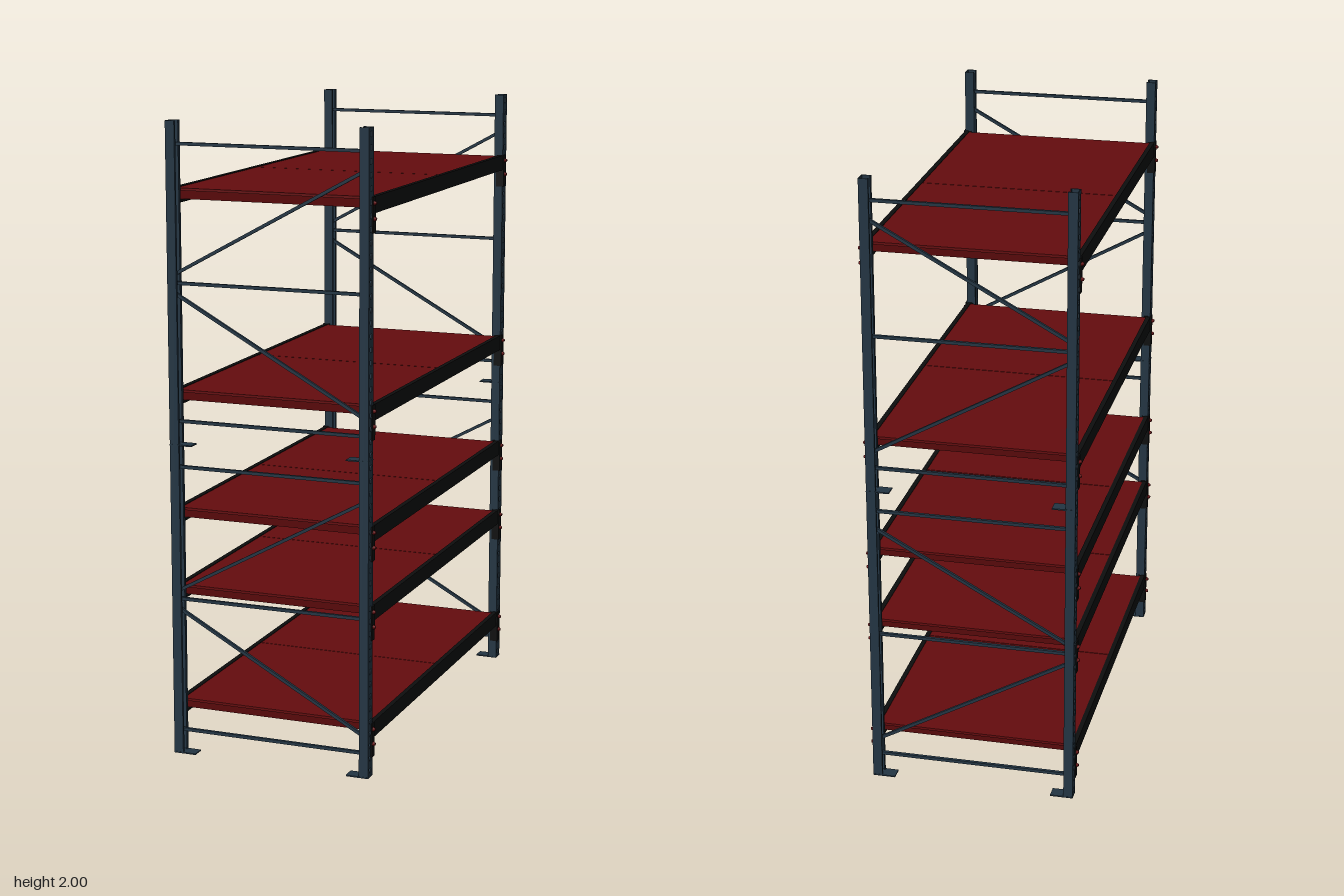
import * as THREE from 'three';

const steel = new THREE.MeshStandardMaterial({ color: 0x233543 });
steel.name = 'blue grey steel';
const red = new THREE.MeshStandardMaterial({ color: 0x640c0e });
red.name = 'dark red';
const black = new THREE.MeshStandardMaterial({ color: 0x0d0e0e });
black.name = 'black';

const POST_X = 0.332, POST_Z = 0.645;
const SHELF_TOPS = [0.17, 0.545, 0.795, 1.17, 1.795];

function add(parent, name, geometry, material, x = 0, y = 0, z = 0) {
  const mesh = new THREE.Mesh(geometry, material);
  mesh.name = name;
  mesh.position.set(x, y, z);
  parent.add(mesh);
  return mesh;
}

const box = (w, h, d) => new THREE.BoxGeometry(w, h, d);

// Extrude a (z, y) outline along x, centred on x = 0
function extrudeX(shape, length) {
  const g = new THREE.ExtrudeGeometry(shape, { depth: length, bevelEnabled: false });
  g.translate(0, 0, -length / 2);
  return g.rotateY(Math.PI / 2);
}

// Perforated outer web of a post
function webGeometry() {
  const shape = new THREE.Shape();
  shape.moveTo(-0.02, 0).lineTo(0.02, 0).lineTo(0.02, 2).lineTo(-0.02, 2).closePath();
  for (let i = 0; i < 50; i++) {
    const y = 0.02 + i * 0.04;
    const hole = new THREE.Path();
    hole.moveTo(-0.006, y - 0.008).lineTo(-0.009, y + 0.008);
    hole.lineTo(0.009, y + 0.008).lineTo(0.006, y - 0.008).closePath();
    shape.holes.push(hole);
  }
  return extrudeX(shape, 0.003);
}

// Ribbed deck panel: flat top, trapezoid ribs underneath
function deckGeometry(length, ribs) {
  const shape = new THREE.Shape();
  const pitch = length / ribs, h = length / 2;
  shape.moveTo(h, 0).lineTo(-h, 0);
  for (let i = 0; i < ribs; i++) {
    const z = -h + i * pitch;
    shape.lineTo(z, -0.008).lineTo(z + pitch * 0.2, -0.008);
    shape.lineTo(z + pitch * 0.3, -0.036).lineTo(z + pitch * 0.7, -0.036);
    shape.lineTo(z + pitch * 0.8, -0.008);
  }
  shape.lineTo(h, -0.008).closePath();
  return extrudeX(shape, 0.628);
}

// Brace between two points in the frame plane
function addBrace(frame, name, x1, y1, x2, y2) {
  const length = Math.hypot(x2 - x1, y2 - y1);
  const brace = add(frame, name, box(length, 0.01, 0.01), steel, (x1 + x2) / 2, (y1 + y2) / 2, 0);
  brace.rotation.z = Math.atan2(y2 - y1, x2 - x1);
}

export function createModel() {
  const model = new THREE.Group();
  model.name = 'storageRack';
  const web = webGeometry();
  const flange = box(0.03, 2, 0.003);
  const lip = box(0.003, 2, 0.009);
  const pin = new THREE.CylinderGeometry(0.004, 0.008, 0.01, 10).rotateZ(-Math.PI / 2);
  const deck = deckGeometry(0.617, 9);

  // End frames: channel posts, foot plates and braces
  for (const sz of [1, -1]) {
    const frame = new THREE.Group();
    frame.name = sz > 0 ? 'frontFrame' : 'backFrame';
    frame.position.z = sz * POST_Z;
    model.add(frame);
    for (const sx of [1, -1]) {
      const post = new THREE.Group();
      post.name = sx > 0 ? 'leftPost' : 'rightPost';
      if (sx < 0) post.rotation.y = Math.PI;
      frame.add(post);
      add(post, 'postWeb', web, steel, POST_X - 0.0055);
      for (const s of [1, -1]) {
        add(post, 'postFlange', flange, steel, POST_X - 0.019, 1, s * 0.0185);
        add(post, 'postLip', lip, steel, POST_X - 0.0325, 1, s * 0.0155);
      }
      for (const y of [0, 1]) {
        add(post, 'footPlate', box(0.073, 0.004, 0.042), steel, 0.292, y + 0.002, 0);
      }
    }
    for (const y of [0, 1]) {
      for (const h of [0.075, 0.505, 0.93]) addBrace(frame, 'crossBar', -0.315, y + h, 0.315, y + h);
      addBrace(frame, 'lowerDiagonal', -0.315, y + 0.475, 0.315, y + 0.125);
      addBrace(frame, 'upperDiagonal', -0.315, y + 0.53, 0.315, y + 0.875);
    }
  }

  // Shelves: two deck panels, side beams and end connectors
  for (const top of SHELF_TOPS) {
    const shelf = new THREE.Group();
    shelf.name = 'shelf';
    shelf.position.y = top;
    model.add(shelf);
    for (const s of [1, -1]) add(shelf, 'deckPanel', deck, red, 0, -0.002, s * 0.31);
    add(shelf, 'deckSeam', box(0.628, 0.004, 0.004), black, 0, -0.006, 0);
    for (const sx of [1, -1]) {
      add(shelf, 'beam', box(0.015, 0.05, 1.25), black, sx * 0.3215, -0.025, 0);
      add(shelf, 'deckLedge', box(0.012, 0.006, 1.24), black, sx * 0.308, -0.042, 0);
      for (const sz of [1, -1]) {
        add(shelf, 'connectorPlate', box(0.004, 0.108, 0.022), black, sx * 0.331, -0.053, sz * 0.632);
        add(shelf, 'connectorFlange', box(0.026, 0.108, 0.003), black, sx * 0.32, -0.053, sz * 0.6225);
        for (const y of [-0.018, -0.065]) {
          const p = add(shelf, 'connectorPin', pin, red, sx * 0.336, y, sz * 0.634);
          if (sx < 0) p.rotation.y = Math.PI;
        }
      }
    }
  }
  return model;
}
